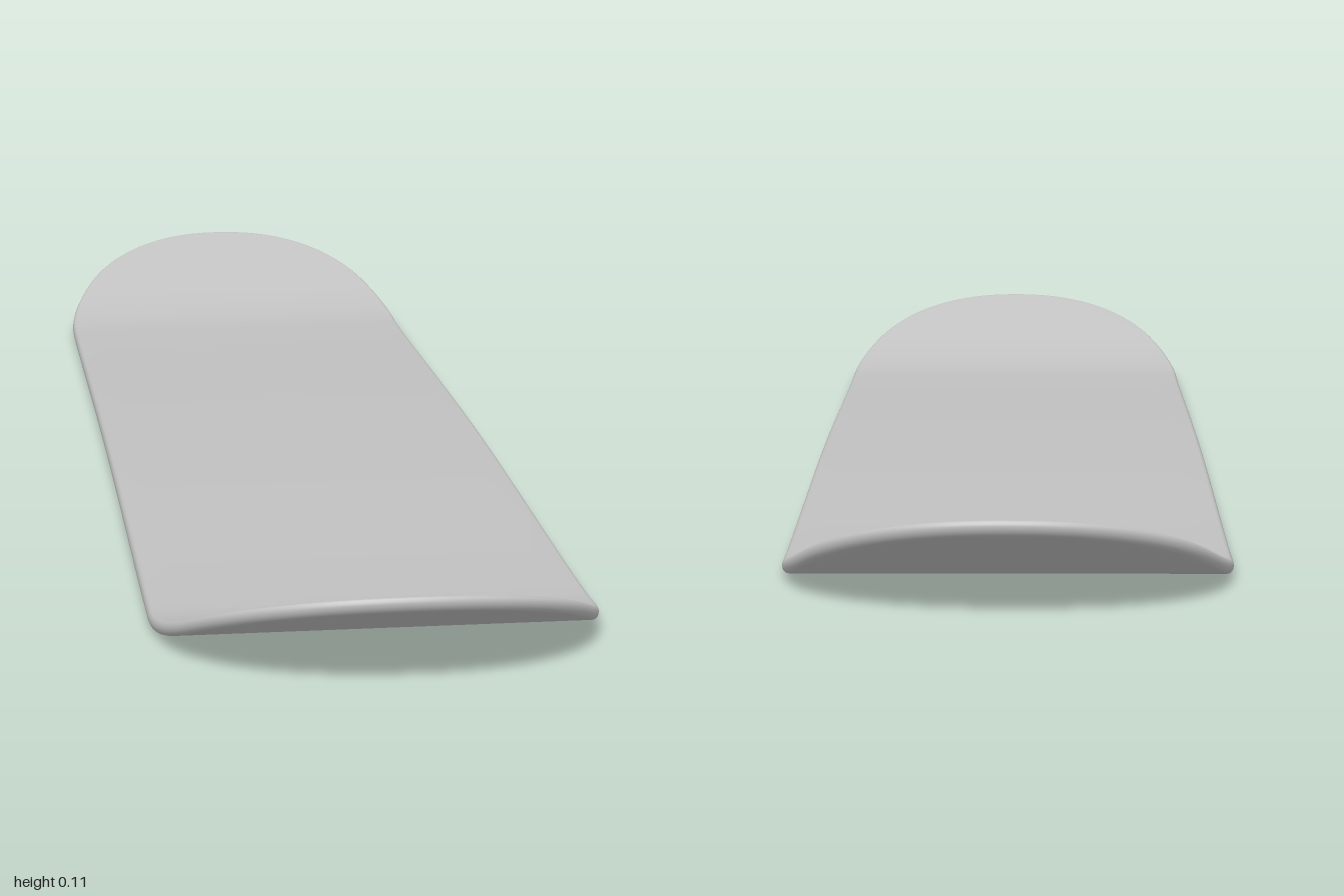
import * as THREE from 'three';
import { mergeVertices } from 'three/addons/utils/BufferGeometryUtils.js';

const HALF_WIDTH = 0.253, STRAIGHT = 0.72, NOSE = 0.28, THICK = 0.017, ROUND = 0.0065;
const BEND = 0.7, BLEND = 0.17, SLOPE = 0.44, CAMBER = 0.01;

// Height of the underside: slight camber in the middle, kicked up nose and tail
function rise(z) {
  const t = Math.abs(z) - BEND;
  if (t < 0) return CAMBER * (1 - (z / BEND) ** 2) ** 2;
  if (t < BLEND) return SLOPE * t * t / (2 * BLEND);
  return SLOPE * (t - BLEND / 2);
}

// Stations along the board: superellipse ends joined by straight sides
function makeStations() {
  const nose = [], power = 2 / 2.2, steps = 36;
  for (let i = 0; i <= steps; i++) {
    const a = (i / steps) * Math.PI / 2;
    const cos = i === steps ? 0 : Math.cos(a);
    nose.push({ z: STRAIGHT, end: Math.sin(a) ** power, w: cos ** power });
  }
  const tail = nose.map(s => ({ z: -s.z, end: -s.end, w: s.w })).reverse();
  const middle = [];
  for (let i = 1; i < 40; i++) {
    middle.push({ z: STRAIGHT * (i / 20 - 1), end: 0, w: 1 });
  }
  return [...tail, ...middle, ...nose];
}

// Cross-section loop: side position, inset from the outline, height
function makeSection() {
  const loop = [], across = 16, arc = 8;
  for (let i = 0; i <= arc; i++) {
    const a = (i / arc - 0.5) * Math.PI;
    loop.push({ s: 1, inset: ROUND * (1 - Math.cos(a)), y: THICK / 2 * (1 + Math.sin(a)) });
  }
  for (let i = 1; i < across; i++) loop.push({ s: 1 - 2 * i / across, inset: ROUND, y: THICK });
  const half = loop.map(p => ({ s: -p.s, inset: p.inset, y: THICK - p.y }));
  return [...loop, ...half];
}

function deckGeometry() {
  const stations = makeStations(), section = makeSection(), n = section.length;
  const positions = [], index = [];
  stations.forEach((st, i) => {
    section.forEach((p, j) => {
      const z = st.z + st.end * (NOSE - p.inset);
      positions.push(p.s * st.w * (HALF_WIDTH - p.inset), rise(z) + p.y, z);
      if (i === stations.length - 1) return;
      const a = i * n + j, b = i * n + (j + 1) % n;
      index.push(a, b, b + n, a, b + n, a + n);
    });
  });
  const geometry = new THREE.BufferGeometry();
  geometry.setAttribute('position', new THREE.Float32BufferAttribute(positions, 3));
  geometry.setIndex(index);
  const merged = mergeVertices(geometry, 1e-5);
  merged.computeVertexNormals();
  return merged;
}

export function createModel() {
  const group = new THREE.Group();
  group.name = 'skateboardDeck';
  const deckGrey = new THREE.MeshStandardMaterial({ color: 0xc0c0c0 });
  deckGrey.name = 'deckGrey';
  const deck = new THREE.Mesh(deckGeometry(), deckGrey);
  deck.name = 'deck';
  group.add(deck);
  return group;
}
